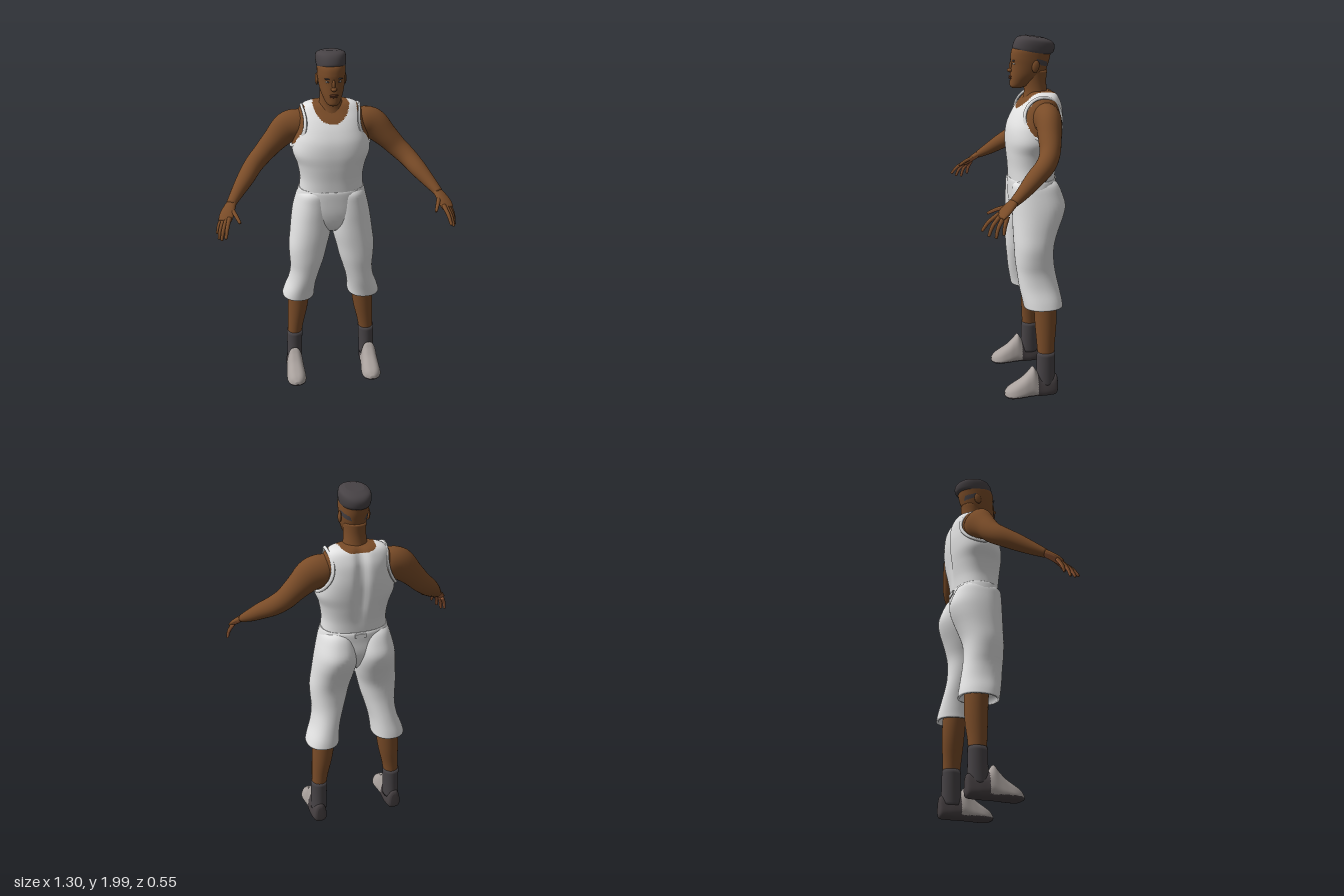
import * as THREE from 'three';

const mat = (name, color) => Object.assign(new THREE.MeshStandardMaterial({ color }), { name });
const TAU = Math.PI * 2;
const pw = (v, e) => Math.sign(v) * Math.pow(Math.abs(v), 2 / e);

// Smoothly resample rows of numbers, column by column
function smooth(rows, n) {
  const cols = rows[0].map((_, c) => new THREE.SplineCurve(rows.map((r, k) => new THREE.Vector2(k, r[c]))));
  return Array.from({ length: n + 1 }, (_, i) => cols.map(c => c.getPoint(i / n).y));
}

// Closed skin over a list of rings; pick(centre, angle) chooses the material
function skinOver(name, rings, mats, pick = () => 0) {
  const m = rings[0].length, pts = rings.flat(), buckets = mats.map(() => []);
  const centre = r => r.reduce((a, p) => a.add(p), new THREE.Vector3()).divideScalar(m);
  const first = pts.push(centre(rings[0])) - 1, last = pts.push(centre(rings.at(-1))) - 1;
  let volume = 0;
  const tri = (a, b, c, j) => {
    const mid = pts[a].clone().add(pts[b]).add(pts[c]).divideScalar(3);
    volume += pts[a].dot(pts[b].clone().cross(pts[c]));
    buckets[pick(mid, (j + 0.5) / m * TAU)].push([a, b, c]);
  };
  for (let j = 0; j < m; j++) {
    const k = (j + 1) % m, top = (rings.length - 1) * m;
    for (let i = 0; i < rings.length - 1; i++) {
      const a = i * m + j, b = i * m + k;
      tri(a, a + m, b + m, j);
      tri(a, b + m, b, j);
    }
    tri(first, j, k, j);
    tri(last, top + k, top + j, j);
  }
  const g = new THREE.BufferGeometry().setFromPoints(pts), index = [];
  buckets.forEach((b, i) => {
    const start = index.length;
    b.forEach(([p, q, r]) => index.push(...(volume < 0 ? [p, r, q] : [p, q, r])));
    if (mats.length > 1) g.addGroup(start, index.length - start, i);
  });
  g.setIndex(index);
  g.computeVertexNormals();
  const mesh = new THREE.Mesh(g, mats.length > 1 ? mats : mats[0]);
  mesh.name = name;
  return mesh;
}

// Horizontal ring from a row [y, x0, x1, zFront, zBack]
function ring([y, x0, x1, zf, zb], s = 1, e = 2.2, m = 40, inset = 0) {
  return Array.from({ length: m }, (_, j) => {
    const a = j / m * TAU;
    return new THREE.Vector3(s * ((x0 + x1) / 2 + ((x1 - x0) / 2 - inset) * pw(Math.cos(a), e)), y,
      (zf + zb) / 2 + ((zf - zb) / 2 - inset) * pw(Math.sin(a), e));
  });
}
const symmetric = rows => rows.map(([y, w, zf, zb]) => [y, -w, w, zf, zb]);

// Limb along rows [x, y, z, sideRadius, upRadius]
function limb(name, rows, s, mats, pick, n = 24, m = 20) {
  const r = smooth(rows, n), at = i => new THREE.Vector3(...r[Math.max(0, Math.min(n, i))]);
  const rings = r.map((row, i) => {
    const t = at(i + 1).sub(at(i - 1)).normalize();
    const side = t.clone().cross(new THREE.Vector3(0, 1, 0)).normalize(), up = side.clone().cross(t);
    return Array.from({ length: m }, (_, j) => {
      const a = j / m * TAU;
      const p = at(i).addScaledVector(side, row[3] * Math.cos(a)).addScaledVector(up, row[4] * Math.sin(a));
      p.x *= s;
      return p;
    });
  });
  return skinOver(name, rings, mats, pick);
}

export function createModel() {
  const g = new THREE.Group();
  g.name = 'standingMan';
  const skin = mat('skin', 0x7a4c28), palm = mat('palm', 0xa0603c), cloth = mat('whiteCloth', 0xe2e2e2);
  const hair = mat('hair', 0x474245), sock = mat('sock', 0x474346), shoe = mat('shoeUpper', 0xaaa29e);
  const sole = mat('shoeDark', 0x453f41), eye = mat('eyeWhite', 0xcfc8c0), lip = mat('lips', 0x5f3722);
  const blob = (name, m, x, y, z, rx, ry, rz) => {
    const b = new THREE.Mesh(new THREE.SphereGeometry(1, 20, 14).scale(rx, ry, rz), m);
    b.position.set(x, y, z);
    b.name = name;
    g.add(b);
    return b;
  };

  // Vest, with bare skin at the neckline and armholes and a groove down the spine
  const torso = smooth(symmetric([
    [1.225, .178, .018, -.228], [1.3, .174, .022, -.235], [1.38, .188, .03, -.25], [1.45, .212, .034, -.262],
    [1.52, .205, .026, -.27], [1.58, .19, .002, -.27], [1.63, .18, -.028, -.264], [1.67, .168, -.06, -.25],
    [1.695, .145, -.08, -.235], [1.708, .11, -.095, -.215], [1.712, .06, -.11, -.19]]), 80)
    .map(r => ring(r, 1, 2.4, 112));
  torso.flat().forEach(p => {
    if (p.z < -.13) p.z += .018 * Math.exp(-((p.x / .03) ** 2)) * THREE.MathUtils.smoothstep(p.y, 1.25, 1.45);
  });
  g.add(skinOver('vest', torso, [cloth, skin], p => {
    const neck = (p.x / .1) ** 2 + ((p.y - 1.725) / (p.z > -.14 ? .108 : .04)) ** 2 < 1;
    const arm = Math.abs(p.x) > .14 && ((p.z + .14) / .095) ** 2 + ((p.y - 1.585) / .11) ** 2 < 1;
    return neck || arm ? 1 : 0;
  }));

  // Neck and head, with small clipped patches behind the ears
  g.add(skinOver('neck', smooth(symmetric([[1.64, .08, -.05, -.21], [1.7, .064, -.065, -.192],
    [1.76, .058, -.06, -.185], [1.82, .06, -.05, -.19]]), 12).map(r => ring(r, 1, 2)), [skin]));
  g.add(skinOver('head', smooth(symmetric([
    [1.727, .022, .002, -.05], [1.738, .036, .012, -.08], [1.765, .05, .012, -.125], [1.8, .063, .01, -.172],
    [1.85, .071, .006, -.193], [1.89, .074, .008, -.204], [1.93, .073, .0, -.208], [1.96, .06, -.03, -.19]]), 60)
    .map(r => ring(r, 1, 2.2, 72)), [skin, hair],
  p => Math.abs(p.y - 1.862 - (p.z + .15) * .3) < .014 && p.z < -.12 && p.z > -.182 ? 1 : 0));
  const cap = smooth(symmetric([[1.912, .073, -.008, -.2], [1.928, .078, -.003, -.222], [1.962, .08, -.014, -.228],
    [1.984, .073, -.034, -.212], [1.996, .045, -.07, -.17]]), 20).map(r => ring(r, 1, 2.2));
  cap.flat().forEach(p => { p.y += (p.z + .12) * .14; });
  g.add(skinOver('flatTopHair', cap, [hair]));

  // Face
  blob('noseBridge', skin, 0, 1.842, .006, .009, .028, .011);
  blob('noseTip', skin, 0, 1.82, .012, .016, .011, .016);
  blob('upperLip', lip, 0, 1.788, .011, .024, .005, .008);
  blob('lowerLip', lip, 0, 1.779, .011, .02, .005, .008);
  for (const s of [1, -1]) {
    blob('eye', eye, s * .03, 1.857, -.004, .012, .005, .007);
    blob('pupil', hair, s * .03, 1.857, .0015, .005, .0048, .0025);
    blob('brow', hair, s * .031, 1.873, -.001, .018, .004, .006).rotation.z = s * .08;
    blob('ear', skin, s * .075, 1.845, -.112, .009, .032, .02).rotation.x = -.2;
  }

  // Pelvis of the shorts and the small tab at the back
  g.add(skinOver('shortsWaist', smooth(symmetric([[.985, .05, -.03, -.16], [1.03, .14, .0, -.2], [1.1, .2, .016, -.235],
    [1.18, .194, .021, -.236], [1.225, .186, .022, -.236], [1.24, .181, .019, -.23]]), 24)
    .map(r => ring(r, 1, 2.3)), [cloth]));
  const tab = new THREE.Mesh(new THREE.BoxGeometry(.06, .022, .012), cloth);
  tab.position.set(0, 1.222, -.236);
  tab.name = 'waistTab';
  g.add(tab);

  for (const s of [1, -1]) {
    // Shorts leg with a turned-in hem
    const leg = [[.54, .1, .287, -.03, -.247], [.58, .098, .275, -.022, -.242], [.65, .088, .25, -.008, -.228],
      [.73, .066, .238, .002, -.212], [.8, .045, .242, .01, -.204], [.88, .026, .245, .014, -.207],
      [.96, .005, .236, .017, -.232], [1.04, -.006, .226, .018, -.264], [1.1, -.006, .216, .019, -.275],
      [1.16, -.002, .202, .018, -.258], [1.21, .01, .187, .015, -.236], [1.235, .025, .165, .0, -.21]];
    g.add(skinOver('shortsLeg', [ring(leg[1], s, 2.2, 40, .014), ring(leg[0], s, 2.2, 40, .012),
      ...smooth(leg, 40).map(r => ring(r, s))], [cloth]));

    // Lower leg and sock
    g.add(skinOver('calf', smooth([[.25, .177, .26, -.105, -.198], [.32, .165, .259, -.1, -.202],
      [.42, .142, .257, -.093, -.212], [.52, .127, .254, -.088, -.214], [.62, .12, .25, -.08, -.21]], 16)
      .map(r => ring(r, s, 2)), [skin]));
    g.add(skinOver('sock', smooth([[.08, .178, .268, -.09, -.206], [.16, .176, .266, -.097, -.203],
      [.272, .171, .266, -.1, -.203]], 8).map(r => ring(r, s, 2)), [sock]));

    // Shoe from cross-sections along z, rows [z, halfWidth, bottom, top]
    const shoeRings = smooth([[-.217, .022, .03, .11], [-.205, .04, .012, .132], [-.16, .05, .01, .122],
      [-.115, .052, .01, .132], [-.095, .053, .01, .16], [-.075, .054, .01, .186], [-.05, .056, .01, .158],
      [-.015, .06, .01, .122], [.03, .061, .01, .092], [.065, .048, .012, .07], [.086, .018, .022, .048]], 50)
      .map(([z, w, y0, y1]) => Array.from({ length: 48 }, (_, j) => {
        const a = j / 48 * TAU, v = pw(Math.sin(a), 2.8), t = (v + 1) / 2;
        return new THREE.Vector3(s * (.227 + w * pw(Math.cos(a), 2.8) * (1.08 - .42 * t)), y0 + (y1 - y0) * t, z);
      }));
    g.add(skinOver('shoe', shoeRings, [shoe, sole], p => (p.y < .03 || p.z < -.1 ? 1 : 0)));

    // Armhole rim
    const rim = new THREE.TorusGeometry(.1, .008, 8, 40).rotateY(Math.PI / 2).scale(1, 1.14, 1)
      .rotateZ(s * .27).translate(s * .186, 1.583, -.138);
    const pos = rim.attributes.position;
    for (let i = 0; i < pos.count; i++) pos.setX(i, pos.getX(i) - s * .035 * ((pos.getZ(i) + .138) / .1) ** 2);
    rim.computeVertexNormals();
    const rimMesh = new THREE.Mesh(rim, cloth);
    rimMesh.name = 'armholeRim';
    g.add(rimMesh);

    // Arm, hand, fingers and thumb; palms are lighter underneath
    g.add(limb('arm', [[.11, 1.58, -.15, .06, .07], [.17, 1.583, -.15, .072, .085], [.235, 1.568, -.149, .068, .086],
      [.31, 1.5, -.138, .06, .066], [.37, 1.438, -.124, .053, .057], [.425, 1.388, -.088, .05, .052],
      [.475, 1.337, -.022, .047, .045], [.522, 1.288, .04, .036, .035], [.563, 1.245, .1, .026, .022]], s, [skin], undefined, 40, 28));
    const under = (p, a) => (Math.sin(a) < -.2 ? 1 : 0);
    g.add(limb('hand', [[.552, 1.257, .085, .024, .02], [.572, 1.232, .12, .034, .018], [.588, 1.207, .15, .04, .016],
      [.6, 1.184, .176, .036, .011]], s, [skin, palm], under, 12));
    const fingers = [
      [[.575, 1.2, .175], [.59, 1.165, .23], [.6, 1.122, .266]], [[.592, 1.19, .175], [.61, 1.15, .213], [.622, 1.1, .236]],
      [[.606, 1.186, .16], [.625, 1.143, .188], [.636, 1.092, .202]], [[.612, 1.192, .14], [.633, 1.15, .157], [.643, 1.107, .164]],
      [[.562, 1.232, .12], [.54, 1.212, .182], [.521, 1.188, .226]]];
    fingers.forEach(([a, b, c], i) => {
      const tip = c.map((v, k) => v - (c[k] - b[k]) * .12);
      g.add(limb(i < 4 ? 'finger' : 'thumb', [[...a, .012, .011], [...b, .0105, .0095], [...tip, .008, .0075],
        [...c, .003, .003]], s, [skin, palm], under, 10, 10));
    });
  }
  return g;
}
